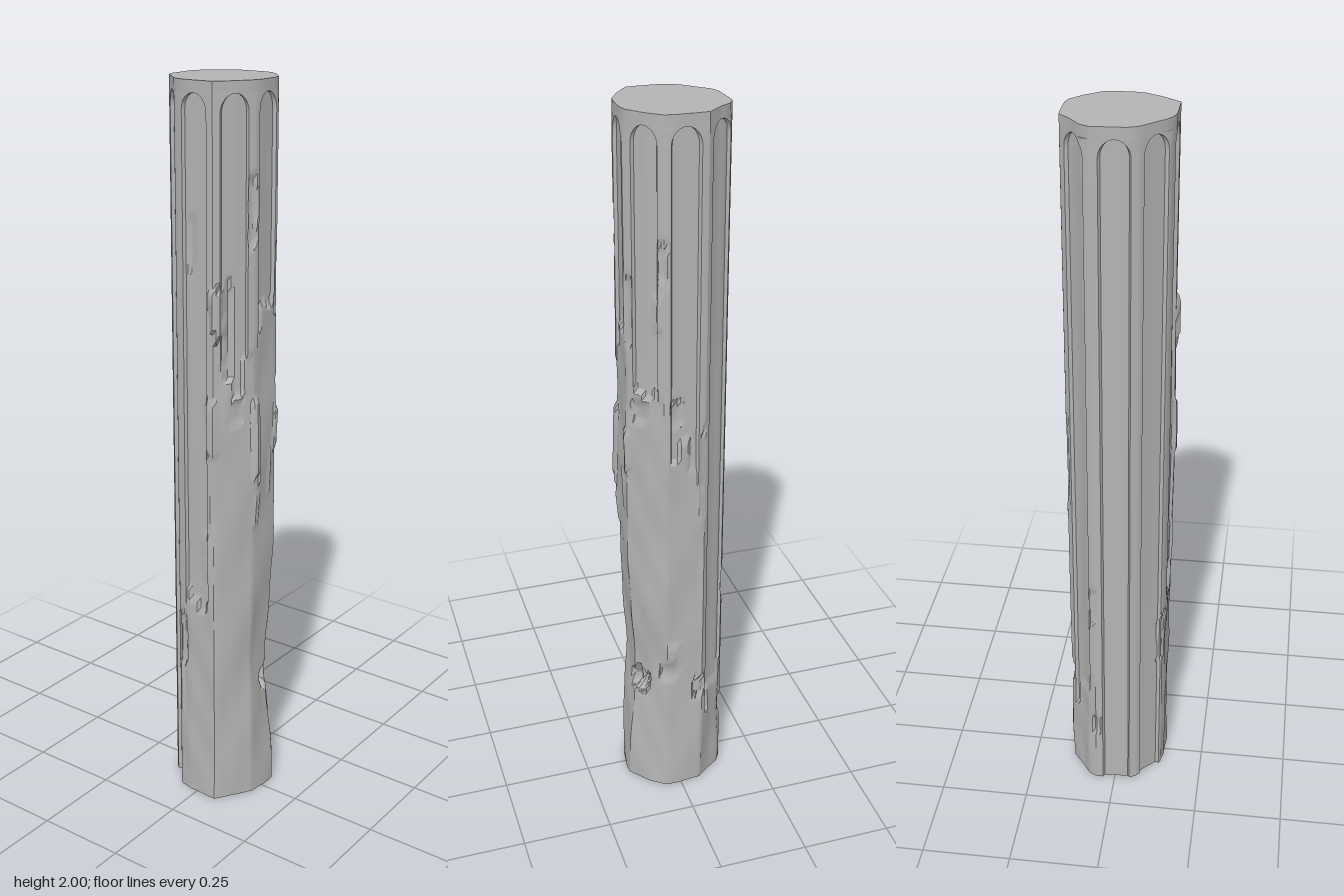
import * as THREE from 'three';
import { toCreasedNormals } from 'three/addons/utils/BufferGeometryUtils.js';

const DEG = Math.PI / 180;
const TOP = 2, SPRING = 1.925, ARCH = 0.045, HALF = 15.5, DEPTH = 0.009;

// Column cross-section (x, z), counter-clockwise from the front towards +x
const outline = [
  [0.005, 0.128], [0.05, 0.128], [0.1, 0.088], [0.137, 0.045], [0.138, -0.06], [0.1, -0.1], [0.078, -0.133],
  [0.055, -0.145], [-0.035, -0.141], [-0.06, -0.13], [-0.09, -0.098], [-0.128, -0.06],
  [-0.138, -0.025], [-0.138, 0.065], [-0.09, 0.1], [-0.04, 0.128],
];

// Height at which each of the eight flutes is worn away, starting at the front
const fluteEnd = [1.4, 1.22, 1.1, 0.3, -1, -1, 0.6, 1.25];

// Chips and lumps: angle, height, half angle, half height, depth (negative stands out)
const chips = [
  [-62, 1.43, 7, 0.06, -0.012], [-68, 1.12, 6, 0.08, -0.006], [-17, 1.08, 6, 0.1, -0.008],
  [-14, 0.88, 4, 0.05, -0.005], [22, 1.1, 5, 0.06, -0.007], [10, 0.98, 3, 0.06, -0.004],
  [40, 1.22, 10, 0.03, 0.008], [-40, 1.17, 8, 0.03, 0.006], [-22, 1.68, 5, 0.08, 0.008],
  [-50, 1.38, 4, 0.12, 0.007], [24, 1.5, 5, 0.1, 0.007], [62, 1.5, 5, 0.04, -0.006],
  [84, 1.23, 7, 0.03, 0.007], [80, 0.47, 9, 0.025, -0.005], [75, 0.4, 12, 0.02, 0.006],
  [112, 0.34, 7, 0.03, 0.009], [157, 0.63, 4, 0.06, 0.006], [160, 0.2, 5, 0.03, 0.007],
  [-112, 0.48, 7, 0.08, 0.006], [-75, 0.75, 5, 0.06, -0.004], [-95, 1.6, 5, 0.07, 0.005],
  [68, 1.64, 5, 0.05, 0.006], [113, 1.05, 3, 0.12, 0.005],
];

const wrap = (a) => a - 360 * Math.round(a / 360);
const hash = (a, b) => {
  const s = Math.sin(a * 127.1 + b * 311.7) * 43758.5453;
  return s - Math.floor(s);
};

// Distance from the axis to the outline in a given direction
function outlineRadius(deg) {
  const dx = Math.sin(deg * DEG), dz = Math.cos(deg * DEG);
  for (let i = 0; i < outline.length; i++) {
    const [ax, az] = outline[i], [bx, bz] = outline[(i + 1) % outline.length];
    if (az * dx - ax * dz >= -1e-9 && dz * bx - dx * bz > 0) {
      return (ax * bz - az * bx) / (dx * (bz - az) - dz * (bx - ax));
    }
  }
  return 0.135;
}

function surfaceRadius(deg, y, flute, inFlute, column) {
  let r = outlineRadius(deg);
  // fluted upper part with a ragged lower limit
  const end = fluteEnd[flute] + (hash(Math.floor(column / 3), flute) - 0.5) * 0.16;
  const a = deg * DEG;
  if (y > end) r -= inFlute ? DEPTH : 0;
  else {
    r -= 0.003;
    r += 0.0018 * Math.sin(3 * a + 9 * y) + 0.0015 * Math.sin(5 * a - 17 * y + 1) + 0.001 * Math.sin(9 * a + 31 * y);
  }
  // hollow in the worn lower front, and the fuller middle
  const front = Math.max(0, Math.cos(a - 0.5));
  r -= 0.016 * front * Math.exp(-(((y - 0.4) / 0.17) ** 2));
  r += 0.007 * Math.max(0, Math.cos(a + 0.3)) * Math.exp(-(((y - 1.05) / 0.22) ** 2));
  r += 0.007 * front * Math.exp(-((y / 0.12) ** 2));
  for (const [ca, cy, wa, wy, d] of chips) {
    const u = Math.abs(wrap(deg - ca)) / wa, v = Math.abs(y - cy) / wy;
    const edge = 0.8 + 0.4 * hash(column, Math.round(y * 40));
    if (Math.max(u, v) < edge) r -= d * (1 - 0.4 * u * u);
  }
  // deep hole low on the front
  const hole = Math.hypot(wrap(deg - 27) / 21, (y - 0.345 - 0.01 * Math.sin(deg * 0.3)) / 0.04);
  if (hole < 1) r -= 0.028 * Math.min(1, 2.2 * (1 - hole)) + 0.005 * hash(column, Math.round(y * 60));
  return r;
}

// Rows of the shaft, closer together in the arched flute heads
const rows = [];
for (let i = 0; i <= 130; i++) rows.push((SPRING * i) / 130);
for (let i = 1; i <= 8; i++) rows.push(SPRING + ARCH * Math.sin((i / 8) * 90 * DEG));
rows.push(1.985, TOP);

// Columns of one flute: t in -1..1 lies inside, beyond it on the ridges
const ts = [-1.7, -1.35, -1.08, -1, -0.93, -0.75, -0.5, -0.25, 0, 0.25, 0.5, 0.75, 0.93, 1, 1.08, 1.35];

function buildRings() {
  return rows.map((y) => {
    const k = Math.min(1, Math.max(0, (y - SPRING) / ARCH));
    const w = Math.max(0.3, HALF * Math.sqrt(1 - k * k));
    const ring = [];
    for (let f = 0; f < 8; f++) {
      ts.forEach((t, j) => {
        const s = Math.abs(t);
        const local = s <= 1 ? s * w : w + ((s - 1) / 0.7) * (22.5 - w);
        const deg = wrap(f * 45 + 2 + Math.sign(t) * local);
        const r = surfaceRadius(deg, y, f, s < 0.97 && y < SPRING + ARCH - 0.0005, f * ts.length + j);
        ring.push([r * Math.sin(deg * DEG), y, r * Math.cos(deg * DEG)]);
      });
    }
    return ring;
  });
}

function geometryFrom(points, index) {
  const g = new THREE.BufferGeometry();
  g.setAttribute('position', new THREE.Float32BufferAttribute(points.flat(), 3));
  g.setIndex(index);
  return g;
}

function shaftGeometry(rings) {
  const n = rings[0].length, index = [];
  for (let i = 0; i < rings.length - 1; i++) {
    for (let j = 0; j < n; j++) {
      const a = i * n + j, b = i * n + ((j + 1) % n), c = a + n, d = b + n;
      index.push(a, b, d, a, d, c);
    }
  }
  return toCreasedNormals(geometryFrom(rings.flat(), index), 32 * DEG);
}

function capGeometry(ring, up) {
  const n = ring.length, index = [];
  for (let j = 0; j < n; j++) {
    const k = (j + 1) % n;
    index.push(n, ...(up ? [j, k] : [k, j]));
  }
  const g = geometryFrom([...ring, [0, ring[0][1], 0]], index);
  g.computeVertexNormals();
  return g;
}

export function createModel() {
  const group = new THREE.Group();
  group.name = 'wornColumn';
  const stone = new THREE.MeshStandardMaterial({ color: 0xb4b4b4 });
  stone.name = 'greyStone';
  const rings = buildRings();
  const add = (name, geometry) => {
    const mesh = new THREE.Mesh(geometry, stone);
    mesh.name = name;
    group.add(mesh);
  };
  add('flutedShaft', shaftGeometry(rings));
  add('topFace', capGeometry(rings[rings.length - 1], true));
  add('bottomFace', capGeometry(rings[0], false));
  return group;
}
